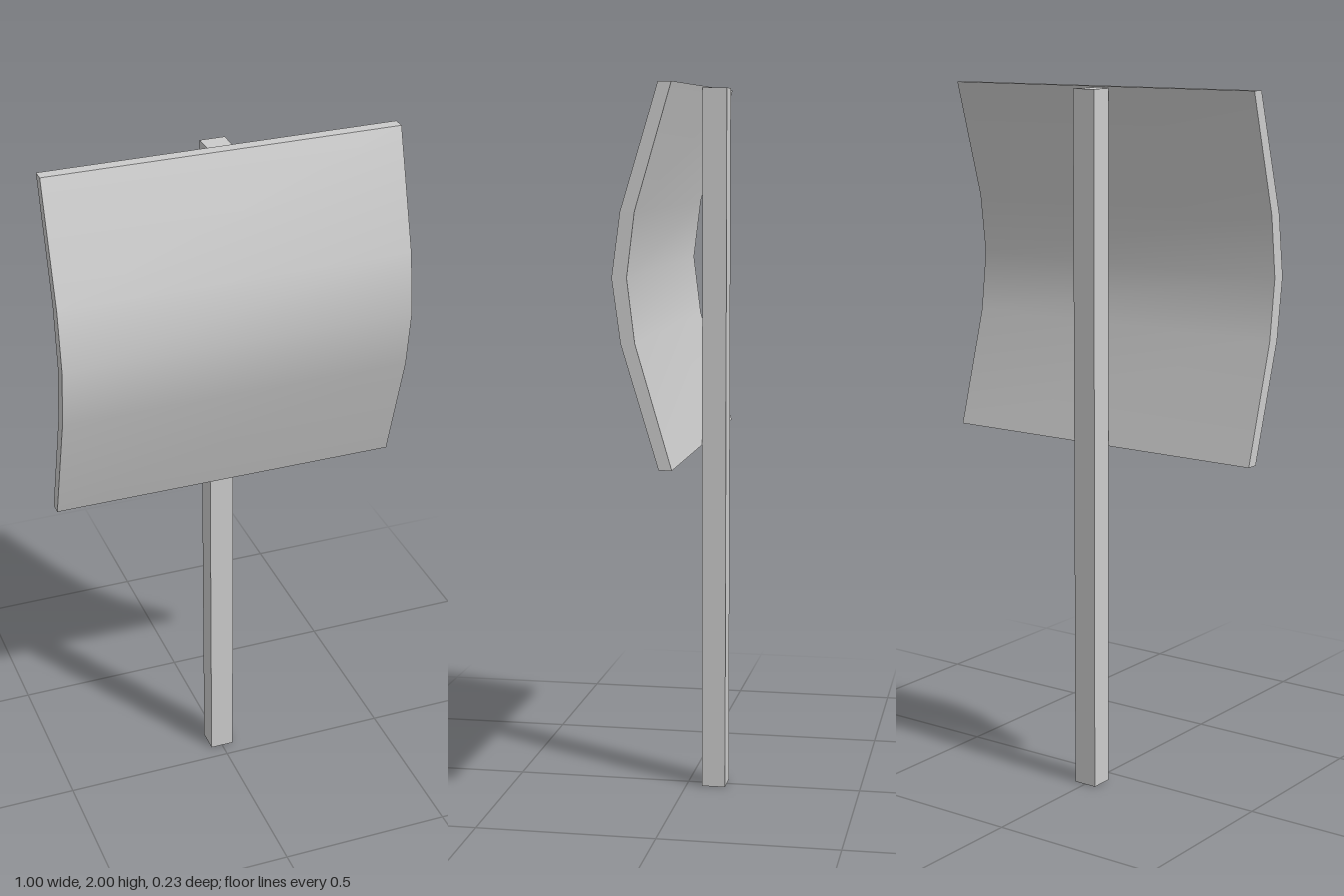
import * as THREE from 'three';

// Bow of the panel, bottom to top: [height, back z, front z]
const BOW = [
  [1, -0.045, -0.01],
  [1.33, 0.052, 0.09],
  [1.5, 0.073, 0.113],
  [1.67, 0.052, 0.09],
  [2, -0.045, -0.01],
];

export function createModel() {
  const group = new THREE.Group();
  const material = new THREE.MeshStandardMaterial({ color: 0xcccccc });

  // Curved panel: a box whose rows are pushed onto the bow
  const panelGeometry = new THREE.BoxGeometry(1, 1, 1, 1, BOW.length - 1, 1);
  const pos = panelGeometry.attributes.position;
  for (let i = 0; i < pos.count; i++) {
    const row = Math.round((pos.getY(i) + 0.5) * (BOW.length - 1));
    const [y, back, front] = BOW[row];
    pos.setY(i, y);
    pos.setZ(i, pos.getZ(i) > 0 ? front : back);
  }
  panelGeometry.computeVertexNormals();
  const panel = new THREE.Mesh(panelGeometry, material);
  panel.name = 'curvedPanel';
  group.add(panel);

  // Square post behind the panel
  const post = new THREE.Mesh(new THREE.BoxGeometry(0.07, 1.995, 0.068), material);
  post.position.set(0, 0.9975, -0.079);
  post.name = 'post';
  group.add(post);

  return group;
}
